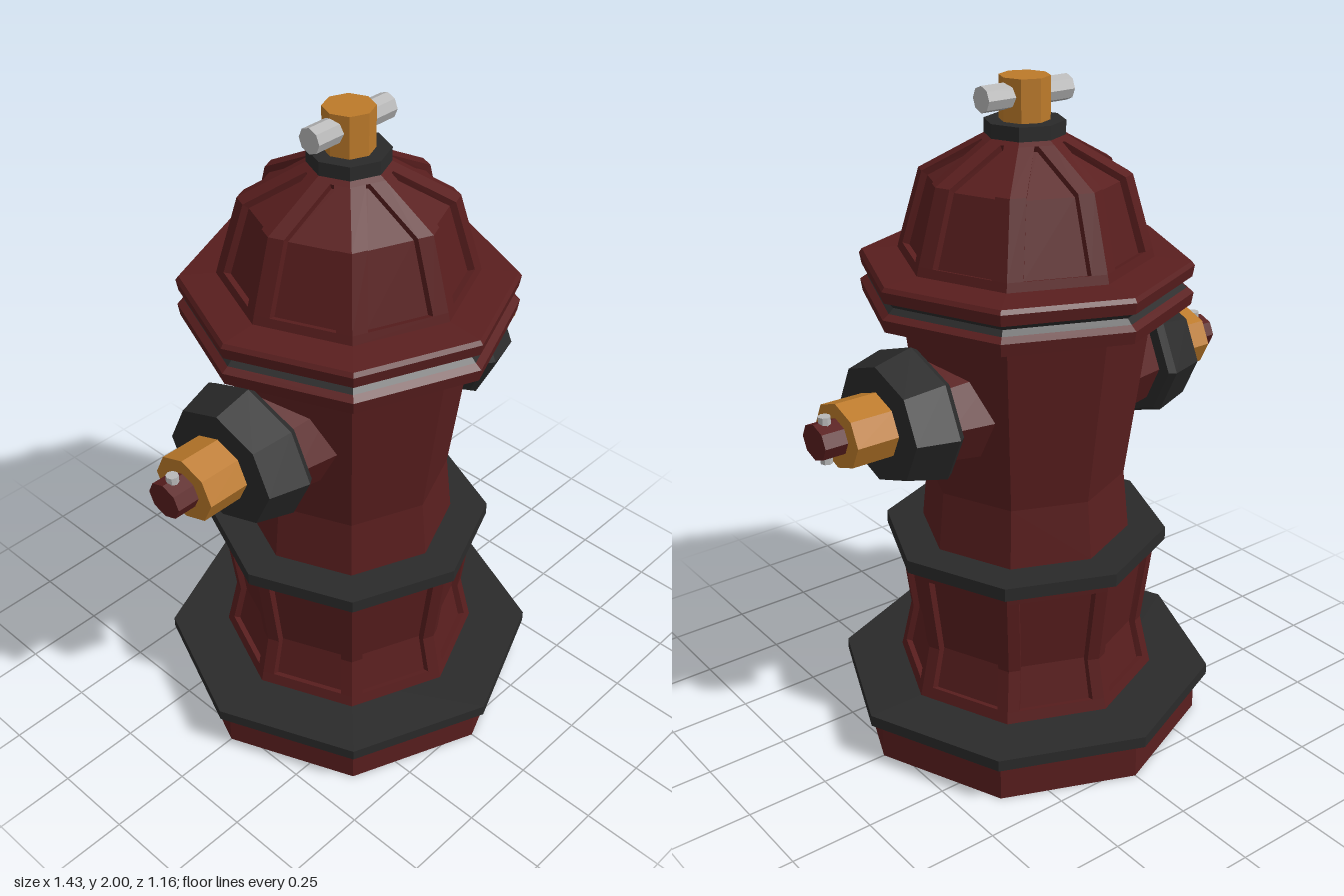
import * as THREE from 'three';

const mat = (name, color) => {
  const m = new THREE.MeshStandardMaterial({ color });
  m.name = name;
  return m;
};

// Faceted normals for the low-poly look
function flat(geo) {
  const g = geo.index ? geo.toNonIndexed() : geo;
  g.computeVertexNormals();
  return g;
}

// Eight-sided ring from a [radius, height] profile, listed bottom to top
const ring = (profile) =>
  flat(new THREE.LatheGeometry(profile.map(([r, y]) => new THREE.Vector2(r, y)), 8));

// Eight-sided prism
const prism = (r, h) => flat(new THREE.CylinderGeometry(r, r, h, 8));

// Eight-sided shell with one recessed panel per face.
// The first and last rows are rims; the panel runs between the inner rows.
function panelShell(rows, margin, depth) {
  const pos = [];
  const quad = (a, b, c, d) => [a, b, c, a, c, d].forEach((p) => pos.push(p.x, p.y, p.z));
  const at = (r, y, k) => {
    const t = (k * Math.PI) / 4;
    return new THREE.Vector3(r * Math.sin(t), y, r * Math.cos(t));
  };
  const last = rows.length - 1;
  for (let k = 0; k < 8; k++) {
    const cut = rows.map(([r, y], i) => {
      const a = at(r, y, k), b = at(r, y, k + 1);
      const w = a.distanceTo(b);
      const m = Math.min(margin / w, 0.46);
      const p = rows[Math.max(i - 1, 0)], n = rows[Math.min(i + 1, last)];
      const dr = n[0] - p[0], dy = n[1] - p[1], len = Math.hypot(dr, dy);
      const inward = at((-depth * dy) / len, (depth * dr) / len, k + 0.5);
      const ol = a.clone().lerp(b, m), or = b.clone().lerp(a, m);
      const il = ol.clone().lerp(or, 0.03).add(inward);
      const ir = or.clone().lerp(ol, 0.03).add(inward);
      return { a, b, ol, or, il, ir };
    });
    for (let i = 0; i < last; i++) {
      const s = cut[i], e = cut[i + 1];
      if (i === 0 || i === last - 1) {
        quad(s.a, s.b, e.b, e.a);
        continue;
      }
      quad(s.a, s.ol, e.ol, e.a);
      quad(s.or, s.b, e.b, e.or);
      quad(s.ol, s.il, e.il, e.ol);
      quad(s.ir, s.or, e.or, e.ir);
      quad(s.il, s.ir, e.ir, e.il);
    }
    const f = cut[1], t = cut[last - 1];
    quad(f.ol, f.or, f.ir, f.il);
    quad(t.il, t.ir, t.or, t.ol);
  }
  const g = new THREE.BufferGeometry();
  g.setAttribute('position', new THREE.Float32BufferAttribute(pos, 3));
  return flat(g);
}

export function createModel() {
  const red = mat('dark red paint', 0x591e1e);
  const dark = mat('charcoal paint', 0x2a2a2a);
  const gold = mat('brass', 0xbc7a2a);
  const silver = mat('steel', 0xb8b8b8);

  const model = new THREE.Group();
  model.name = 'hydrant';
  const add = (name, geo, material, parent = model) => {
    const mesh = new THREE.Mesh(geo, material);
    mesh.name = name;
    parent.add(mesh);
    return mesh;
  };

  // Base skirt, open underneath up to the flange
  add('base', ring([[0.538, 0.125], [0.538, 0], [0.542, 0], [0.542, 0.125]]), red);
  add('baseFlange', ring([[0, 0.125], [0.58, 0.125], [0.58, 0.16], [0.3, 0.16]]), dark);

  // Panelled lower body
  add('lowerBody', panelShell(
    [[0.4, 0.16], [0.392, 0.195], [0.365, 0.32], [0.396, 0.565], [0.4, 0.6]], 0.036, 0.018), red);
  add('middleFlange', ring([[0.36, 0.6], [0.432, 0.6], [0.432, 0.64], [0.28, 0.64]]), dark);

  // Barrel and the paired rims with a seal between
  add('barrel', ring([[0.318, 0.64], [0.3, 0.82], [0.37, 1.35]]), red);
  add('lowerRim', ring([[0.36, 1.345], [0.44, 1.35], [0.478, 1.362], [0.484, 1.398], [0.464, 1.412]]), red);
  add('seal', ring([[0.464, 1.412], [0.448, 1.426], [0.462, 1.441]]), dark);
  add('upperRim', ring([[0.462, 1.441], [0.478, 1.445], [0.484, 1.478], [0.475, 1.49], [0.36, 1.5]]), red);

  // Bonnet with even-width ribs, its panels tapering over the shoulder
  add('bonnet', panelShell(
    [[0.37, 1.498], [0.363, 1.525], [0.302, 1.735], [0.132, 1.83], [0.11, 1.842]], 0.045, 0.02), red);
  add('collar', prism(0.115, 0.04), dark).position.y = 1.86;
  add('topNut', prism(0.072, 0.13), gold).position.y = 1.935;
  const bar = add('topBar', prism(0.037, 0.295), silver);
  bar.rotation.z = Math.PI / 2;
  bar.position.y = 1.95;

  // Side outlets, built along +x, slightly wider than tall
  for (const side of [1, -1]) {
    const outlet = new THREE.Group();
    outlet.name = side > 0 ? 'leftOutlet' : 'rightOutlet';
    outlet.position.y = 1.1;
    outlet.rotation.y = side > 0 ? 0 : Math.PI;
    model.add(outlet);
    const along = (name, profile, material) =>
      add(name, flat(ring(profile).rotateZ(-Math.PI / 2).scale(1, 1, 1.165)), material, outlet);
    along('outletNeck', [[0.175, 0.22], [0.15, 0.39]], red);
    along('outletCap', [[0, 0.376], [0.188, 0.376], [0.2, 0.396], [0.17, 0.515], [0, 0.515]], dark);
    along('outletNut', [[0.095, 0.51], [0.095, 0.645], [0, 0.645]], gold);
    along('outletStem', [[0.052, 0.64], [0.052, 0.715], [0, 0.715]], red);
    add('outletPin', prism(0.018, 0.138), silver, outlet).position.x = 0.68;
  }
  return model;
}
